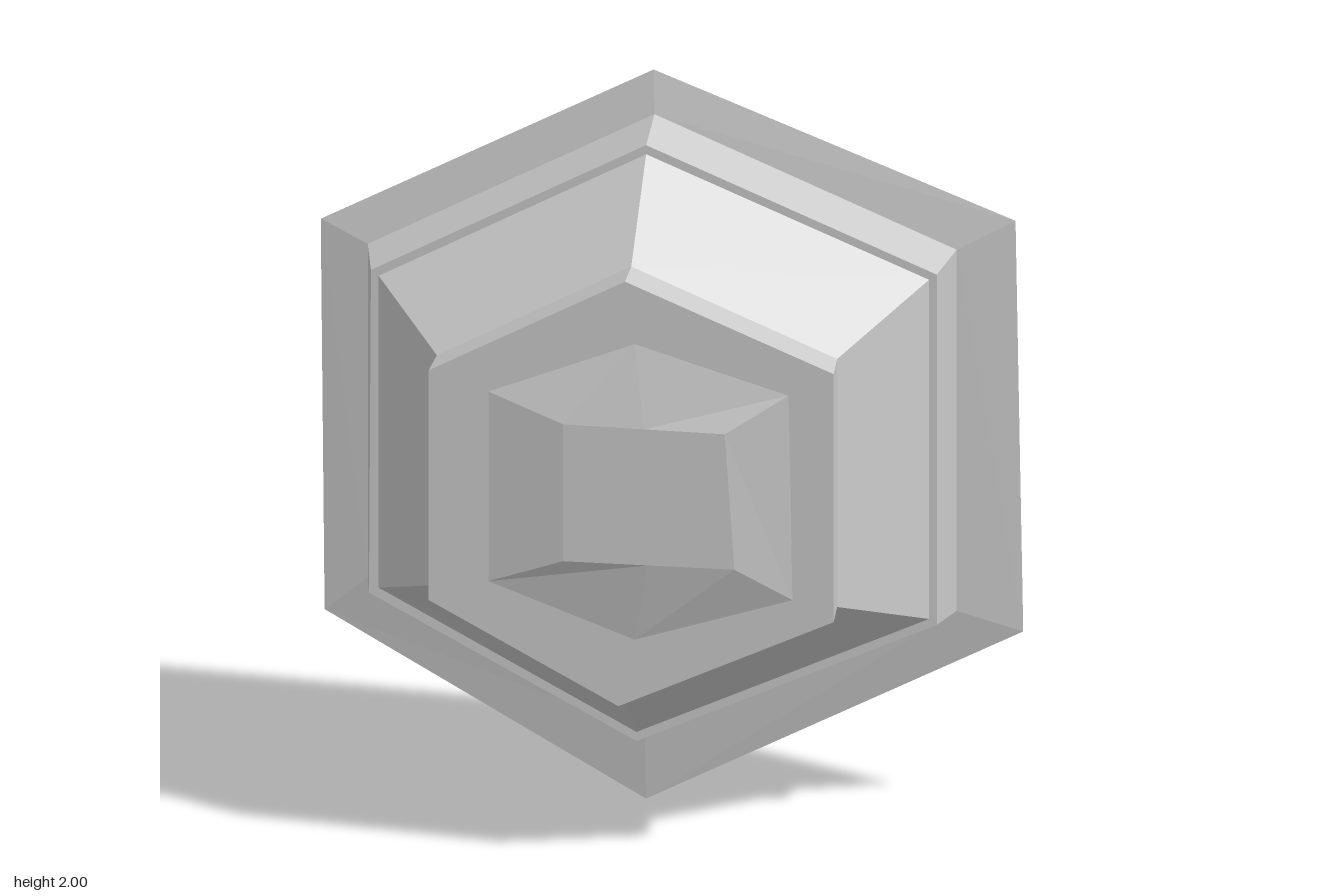
import * as THREE from 'three';

// Hexagonal cross-sections: z, then (x, y) for top, upper -x, lower -x, bottom, lower +x, upper +x
const ring = (z, ...p) => p.map(([x, y]) => new THREE.Vector3(x, y, z));

const rim = ring(-0.295, [-0.05, 2], [-0.915, 1.545], [-0.905, 0.475], [-0.07, 0], [0.91, 0.51], [0.89, 1.635]);
const collarBack = ring(-0.275, [-0.045, 1.885], [-0.79, 1.49], [-0.79, 0.575], [-0.07, 0.19], [0.74, 0.565], [0.74, 1.555]);
const collarFront = ring(-0.125, [-0.045, 1.855], [-0.76, 1.475], [-0.765, 0.59], [-0.07, 0.22], [0.71, 0.58], [0.71, 1.54]);
const slopeBack = ring(-0.125, [-0.045, 1.83], [-0.74, 1.46], [-0.74, 0.605], [-0.07, 0.245], [0.69, 0.595], [0.69, 1.525]);
const slopeFront = ring(0.142, [-0.045, 1.62], [-0.55, 1.35], [-0.55, 0.72], [-0.062, 0.46], [0.49, 0.715], [0.49, 1.395]);
const headFront = ring(0.255, [-0.045, 1.62], [-0.555, 1.35], [-0.555, 0.72], [-0.062, 0.455], [0.497, 0.715], [0.497, 1.395]);
const facetBase = ring(0.255, [-0.02, 1.45], [-0.4, 1.3], [-0.4, 0.78], [-0.02, 0.64], [0.39, 0.77], [0.38, 1.33]);
const facetTop = ring(0.295, [0.01, 1.2325], [-0.2, 1.235], [-0.2, 0.86], [0.02, 0.86], [0.245, 0.86], [0.22, 1.23]);

// Skins consecutive rings (back to front); optional end caps
function loft(name, rings, { capBack = false, capFront = false, doubleSide = false } = {}) {
  const pos = [];
  const tri = (...v) => v.forEach(p => pos.push(p.x, p.y, p.z));
  for (let r = 0; r < rings.length - 1; r++) {
    const a = rings[r], b = rings[r + 1];
    for (let i = 0; i < 6; i++) {
      const j = (i + 1) % 6;
      tri(a[i], a[j], b[j]);
      tri(a[i], b[j], b[i]);
    }
  }
  const first = rings[0], last = rings[rings.length - 1];
  for (let i = 1; i < 5; i++) {
    if (capBack) tri(first[0], first[i + 1], first[i]);
    if (capFront) tri(last[0], last[i], last[i + 1]);
  }
  const geo = new THREE.BufferGeometry();
  geo.setAttribute('position', new THREE.Float32BufferAttribute(pos, 3));
  geo.computeVertexNormals();
  const mesh = new THREE.Mesh(geo, new THREE.MeshStandardMaterial({
    color: 0xcccccc, flatShading: true,
    side: doubleSide ? THREE.DoubleSide : THREE.FrontSide,
  }));
  mesh.name = name;
  return mesh;
}

export function createModel() {
  const group = new THREE.Group();
  group.name = 'hexagonalBoss';
  group.add(
    // Thin sloping flange, open behind
    loft('flange', [rim, collarBack], { doubleSide: true }),
    // Collar with its narrow front ledge and the recessed back panel
    loft('collar', [collarBack, collarFront, slopeBack], { capBack: true }),
    // Tapered body
    loft('taperedBody', [slopeBack, slopeFront]),
    // Straight-sided head with its flat front border
    loft('head', [slopeFront, headFront, facetBase]),
    // Raised faceted centre
    loft('facetedCentre', [facetBase, facetTop], { capFront: true }),
  );
  return group;
}
